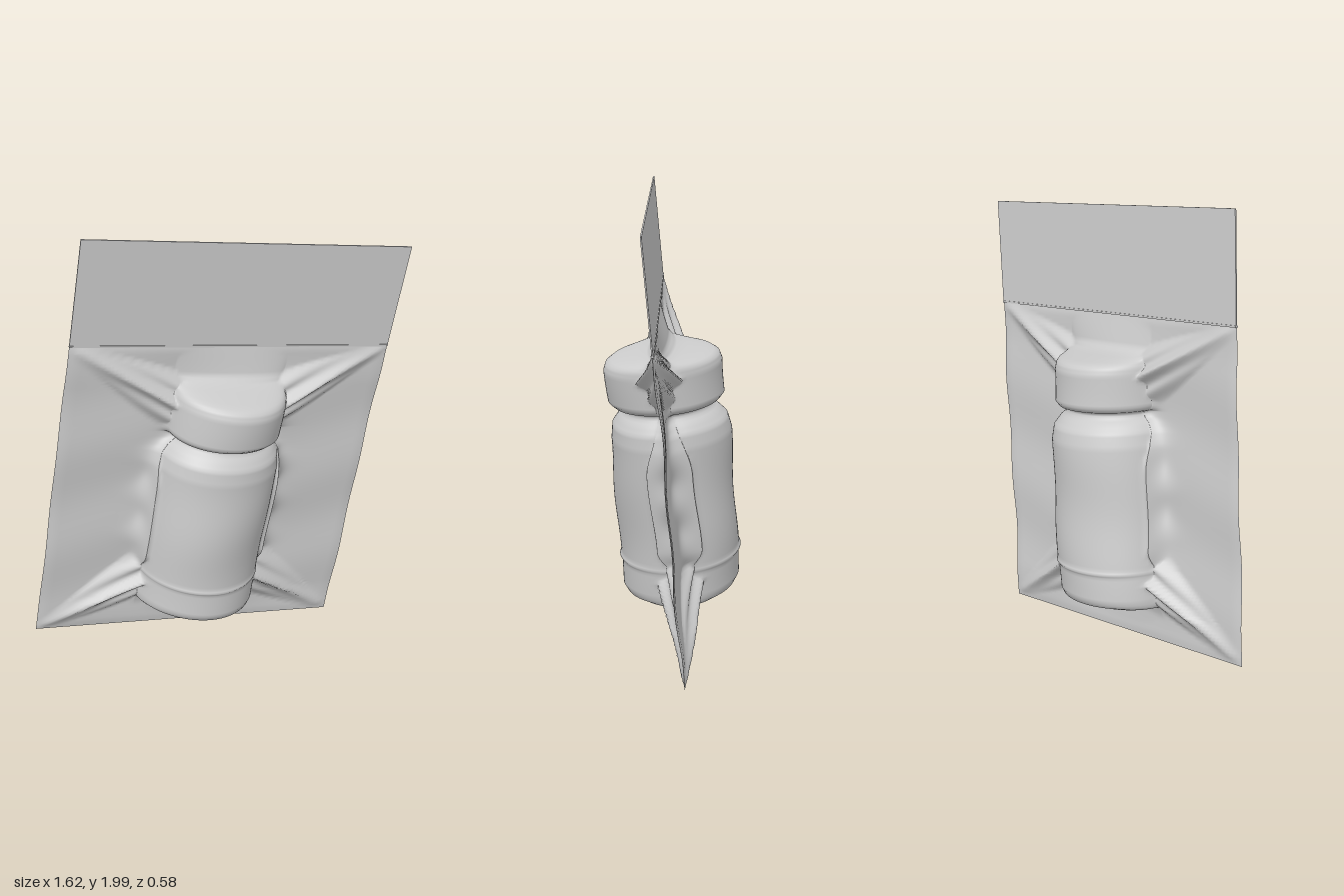
import * as THREE from 'three';

const HALF_W = 0.688, FOLD = 1.383, TOP = 1.83;

// Wrapped bottle profile, bottom to top: [height, half width, half depth]
const PROFILE = [
  [0, 0.25, 0], [0.14, 0.26, 0.012], [0.156, 0.26, 0.035], [0.162, 0.26, 0.2],
  [0.175, 0.265, 0.238], [0.2, 0.268, 0.252], [0.31, 0.268, 0.253], [0.325, 0.272, 0.263],
  [0.34, 0.27, 0.256], [0.86, 0.27, 0.256], [0.92, 0.26, 0.245], [0.955, 0.235, 0.215],
  [0.975, 0.21, 0.192], [0.995, 0.205, 0.188], [1.005, 0.235, 0.226], [1.025, 0.248, 0.245],
  [1.16, 0.248, 0.248], [1.188, 0.245, 0.238], [1.203, 0.24, 0.215], [1.215, 0.24, 0.15],
  [1.232, 0.24, 0.06], [1.26, 0.24, 0.03], [1.383, 0.25, 0],
];

// Denser rows interpolated along the profile
function profileRows() {
  const rows = [];
  PROFILE.forEach((p, i) => {
    const q = PROFILE[i + 1];
    if (!q) return rows.push(p);
    const n = Math.max(2, Math.ceil((q[0] - p[0]) / 0.013));
    for (let k = 0; k < n; k++) rows.push(p.map((a, c) => a + (q[c] - a) * k / n));
  });
  return rows;
}

// Creased tent of film stretched from the bottle (a) to a pouch corner (b)
function tent(u, v, [ax, ay], [bx, by], height, width) {
  const dx = bx - ax, dy = by - ay, len = Math.hypot(dx, dy);
  const t = ((u - ax) * dx + (v - ay) * dy) / (len * len);
  if (t > 1) return 0;
  const d = ((u - ax) * dy - (v - ay) * dx) / len;
  const s = 1 - Math.max(t, 0);
  const across = Math.max(0, 1 - Math.abs(d) / (0.02 + width * s));
  return height * s * Math.pow(across, 0.8) * (0.82 + 0.18 * Math.cos(d * 85));
}

// Film height off the middle plane around the bottle
function filmHeight(u, v, rw) {
  const a = Math.abs(u);
  const body = THREE.MathUtils.smoothstep(v, 0.3, 0.42) * (1 - THREE.MathUtils.smoothstep(v, 0.75, 1.02));
  const reach = 0.022 + 0.006 * Math.sin(v * 31 + Math.sign(u));
  const fillet = (0.025 + 0.065 * body) * Math.exp(-Math.max(0, a - rw) / reach);
  const inPouch = THREE.MathUtils.smoothstep(v, 0.1, 0.2) * (1 - THREE.MathUtils.smoothstep(v, 1.15, 1.3));
  const low = tent(a, v, [0.24, 0.28], [0.68, 0.01], 0.1, 0.11);
  const high = tent(a, v, [0.2, 1.13], [0.68, 1.375], 0.1, 0.11);
  const edge = Math.min(1, (HALF_W - a) / 0.03, v / 0.03, (FOLD - v) / 0.02);
  return (0.004 + Math.max(fillet * inPouch, low, high)) * Math.max(0, edge);
}

// Gentle waviness shared by both sheets
function wave(u, v) {
  const fade = Math.min(1, (FOLD - v) / 0.2, v / 0.15);
  return 0.005 * fade * (Math.sin(u * 9 + v * 5) + Math.sin(v * 13 - u * 4));
}

// One formed sheet; side is 1 for front, -1 for back
function filmSheet(side) {
  const rows = profileRows().reverse();
  const OUT = 34, IN = 40, cols = OUT * 2 + IN;
  const geo = new THREE.PlaneGeometry(1, 1, cols, rows.length - 1);
  const pos = geo.attributes.position;
  rows.forEach(([v, rw, rz], i) => {
    for (let j = 0; j <= cols; j++) {
      const k = j - cols / 2, a = Math.abs(k);
      let u, bulge = 0;
      if (a <= IN / 2) {
        const angle = a / (IN / 2) * Math.PI / 2;
        u = rw * Math.sin(angle);
        bulge = rz * Math.cos(angle);
      } else {
        u = rw + (HALF_W - rw) * Math.pow((a - IN / 2) / OUT, 1.4);
      }
      u *= Math.sign(k) * side;
      const h = Math.max(bulge, filmHeight(u, v, rw));
      pos.setXYZ(i * (cols + 1) + j, u, v, wave(u, v) + side * h);
    }
  });
  geo.computeVertexNormals();
  return geo;
}

// Flat header card with a rounded hanging slot
function headerGeometry() {
  const w = HALF_W + 0.004;
  const shape = new THREE.Shape([
    new THREE.Vector2(-HALF_W, FOLD), new THREE.Vector2(HALF_W, FOLD),
    new THREE.Vector2(w, TOP), new THREE.Vector2(-w, TOP),
  ]);
  const y = 1.638, r = 0.057, half = 0.113, bump = 0.055;
  const hole = new THREE.Path();
  hole.moveTo(-half, y - r);
  hole.lineTo(half, y - r);
  hole.absarc(half, y, r, -Math.PI / 2, Math.PI / 2, false);
  hole.lineTo(0.068, y + r);
  hole.quadraticCurveTo(bump, y + r, bump, y + r + 0.013);
  hole.absarc(0, y + r, bump, 0.24, Math.PI - 0.24, false);
  hole.quadraticCurveTo(-bump, y + r, -0.068, y + r);
  hole.lineTo(-half, y + r);
  hole.absarc(-half, y, r, Math.PI / 2, Math.PI * 1.5, false);
  shape.holes.push(hole);
  const geo = new THREE.ExtrudeGeometry(shape, { depth: 0.006, bevelEnabled: false, curveSegments: 16 });
  return geo.translate(0, 0, -0.003);
}

export function createModel() {
  const material = new THREE.MeshStandardMaterial({ color: 0xcccccc, side: THREE.DoubleSide });
  const pouch = new THREE.Group();
  pouch.name = 'pouch';
  const add = (name, geo) => {
    const mesh = new THREE.Mesh(geo, material);
    mesh.name = name;
    pouch.add(mesh);
    return mesh;
  };
  add('frontFilm', filmSheet(1));
  add('backFilm', filmSheet(-1));
  add('headerCard', headerGeometry());

  // Thin seam where the pouch meets the header
  add('foldSeam', new THREE.BoxGeometry(HALF_W * 2, 0.008, 0.012)).position.y = FOLD;

  // The pack hangs rolled to one side and leans slightly forward
  pouch.rotation.set(0.085, 0, -0.137);
  pouch.position.set(-0.128, 0.0975, -0.052);

  const model = new THREE.Group();
  model.name = 'packagedBottle';
  model.add(pouch);
  return model;
}
